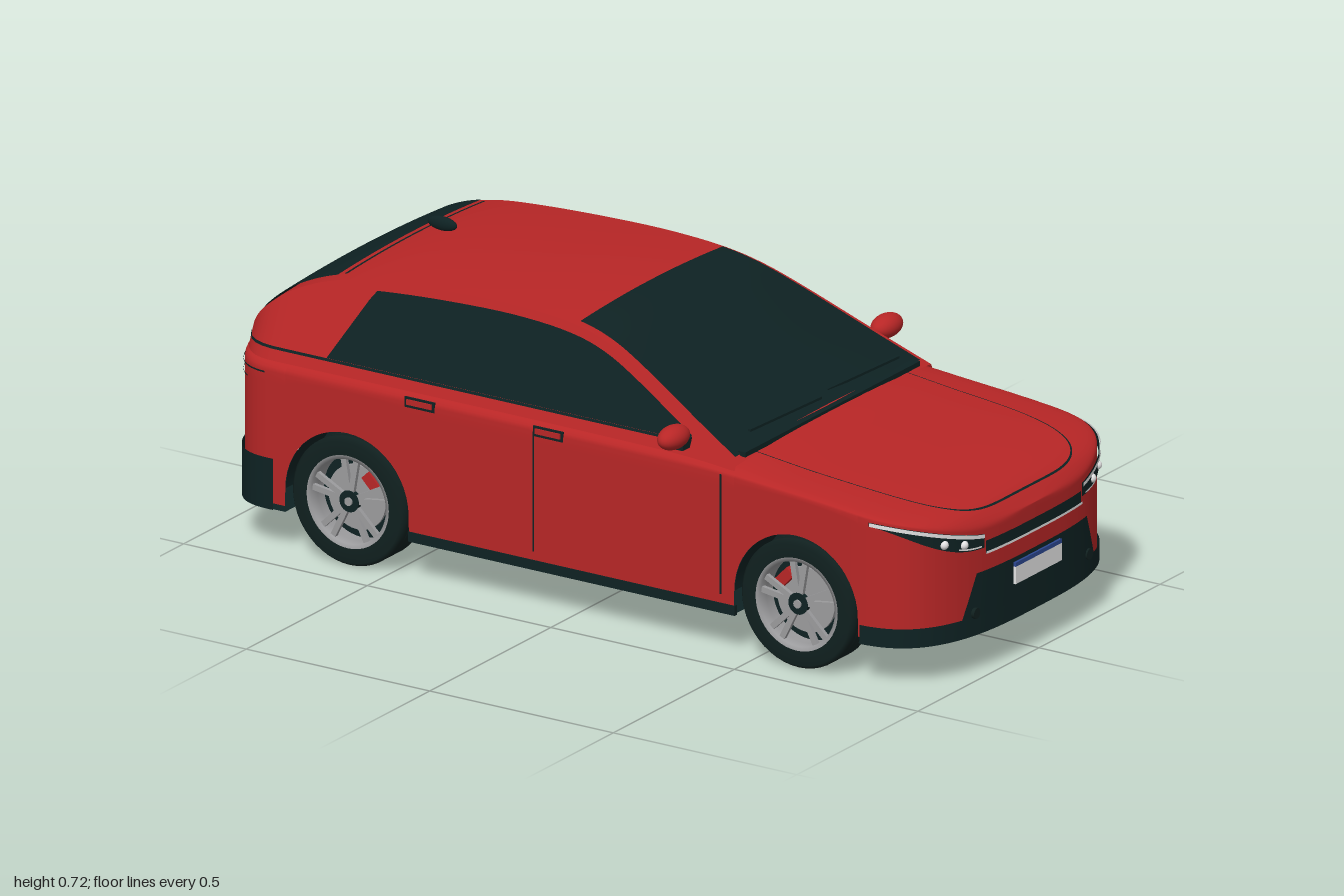
import * as THREE from 'three';

const mat = (name, color) => {
  const m = new THREE.MeshStandardMaterial({ color, side: THREE.DoubleSide });
  m.name = name;
  return m;
};

// Smooth height curve through a few [x, y] points
const curve = pts => x => {
  const n = pts.length;
  if (x <= pts[0][0]) return pts[0][1];
  if (x >= pts[n - 1][0]) return pts[n - 1][1];
  let i = 0;
  while (x > pts[i + 1][0]) i++;
  const slope = k => {
    const a = pts[Math.max(k - 1, 0)], b = pts[Math.min(k + 1, n - 1)];
    return (b[1] - a[1]) / (b[0] - a[0]);
  };
  const [x0, y0] = pts[i], [x1, y1] = pts[i + 1], h = x1 - x0, t = (x - x0) / h;
  const t2 = t * t, t3 = t2 * t;
  return y0 * (2 * t3 - 3 * t2 + 1) + y1 * (3 * t2 - 2 * t3)
    + h * (slope(i) * (t3 - 2 * t2 + t) + slope(i + 1) * (t3 - t2));
};

const HALF = 0.42, WHEELS = [0.615, -0.608], WHEEL_Y = 0.155, ARCH = 0.168;
const ENDS = { 1: [0.74, 0.25], '-1': [-0.8, 0.175] };
const shoulder = curve([[-0.98, 0.43], [0.35, 0.43], [0.6, 0.418], [0.8, 0.4], [0.9, 0.385], [0.95, 0.365], [0.99, 0.335]]);
const deck = curve([[-0.98, 0.475], [-0.9, 0.482], [0.25, 0.48], [0.42, 0.465], [0.55, 0.448], [0.75, 0.428], [0.88, 0.408], [0.95, 0.387], [0.99, 0.352]]);
const roof = curve([[-0.955, 0.46], [-0.93, 0.505], [-0.89, 0.555], [-0.82, 0.61], [-0.71, 0.653], [-0.57, 0.673], [-0.31, 0.686],
  [-0.14, 0.683], [-0.015, 0.667], [0.09, 0.632], [0.33, 0.515], [0.44, 0.462]]);

// Plan outline: half width at x, and its inverse on the nose and tail
const width = x => {
  const [c, a] = x > 0 ? ENDS[1] : ENDS[-1];
  const t = Math.max(0, (x - c) / a * Math.sign(x));
  return HALF * Math.cbrt(Math.max(0, 1 - t ** 3));
};
const face = (end, z, y, off) => {
  const [c, a] = ENDS[end];
  const t = Math.min(1, Math.abs(z) / HALF);
  return [c + end * (a * Math.cbrt(1 - t ** 3) + off), y, z * (1 + off / HALF)];
};
const wrapZ = t => HALF * Math.sign(t) * Math.abs(Math.sin(t)) ** (2 / 3);

// Cabin surface: sloping sides and a slightly crowned top
const cabinSide = (x, y) => Math.max(0, width(x) - 0.03 - 0.45 * (y - 0.48));
const cabinTop = (x, u, off = 0) => {
  const edge = roof(x) - 0.012;
  return [x, roof(x) - 0.012 * u * u + off, u * cabinSide(x, edge)];
};
const hoodY = (x, z) => {
  const t = Math.min(1, Math.abs(z) / Math.max(width(x), 1e-4));
  return shoulder(x) + (deck(x) - shoulder(x)) * (1 - t ** 2.5) ** 0.4;
};

export function createModel() {
  const red = mat('red paint', 0xb82626), dark = mat('dark glass and trim', 0x0e2223), rubber = mat('tyre rubber', 0x10201f);
  const silver = mat('silver metal', 0x9c9c9e), white = mat('white lamp', 0xe4e4e4), blue = mat('blue strip', 0x2b4791);
  const car = new THREE.Group();
  car.name = 'car';

  const add = (name, geo, material, pos = [0, 0, 0], parent = car) => {
    const m = new THREE.Mesh(geo, material);
    m.name = name;
    m.position.set(...pos);
    parent.add(m);
    return m;
  };
  const box = (name, size, material, pos, parent) => add(name, new THREE.BoxGeometry(...size), material, pos, parent);
  // Surface grid from a rule f(u, v) -> [x, y, z]
  const patch = (name, material, nu, nv, f) => {
    const pos = [], idx = [];
    for (let i = 0; i <= nu; i++) for (let j = 0; j <= nv; j++) {
      pos.push(...f(i / nu, j / nv));
      const a = i * (nv + 1) + j, b = a + nv + 1;
      if (i < nu && j < nv) idx.push(a, b, a + 1, b, b + 1, a + 1);
    }
    const g = new THREE.BufferGeometry();
    g.setAttribute('position', new THREE.Float32BufferAttribute(pos, 3));
    g.setIndex(idx);
    g.computeVertexNormals();
    return add(name, g, material);
  };

  // Stations along the body, dense at the rounded ends and wheel arches
  const xs = [];
  for (let i = -10; i <= 10; i++) xs.push(i * 0.04);
  for (let i = 0; i <= 24; i++) {
    const c = Math.cos(i / 24 * Math.PI / 2) ** (2 / 3);
    xs.push(0.74 + 0.25 * c, -0.8 - 0.175 * c);
    for (const w of WHEELS) xs.push(w + ARCH * Math.cos(i / 24 * Math.PI));
  }
  for (const w of WHEELS) xs.push(w - ARCH - 0.0005, w + ARCH + 0.0005);
  xs.sort((a, b) => a - b);
  const station = u => xs[Math.round(u * (xs.length - 1))];
  const inArch = x => WHEELS.find(w => Math.abs(x - w) <= ARCH + 1e-6);
  const bottom = x => {
    const w = inArch(x);
    return w === undefined ? 0.112 : WHEEL_Y + Math.sqrt(Math.max(0, ARCH ** 2 - (x - w) ** 2));
  };

  for (const s of [1, -1]) {
    // Body side, shoulder and deck
    patch('bodyHalf', red, xs.length - 1, 24, (u, v) => {
      const x = station(u), w = width(x), b = bottom(x), sh = shoulder(x);
      if (v <= 0.5) return [x, b + (sh - b) * v * 2, s * w];
      const a = (v - 0.5) * Math.PI;
      return [x, sh + (deck(x) - sh) * Math.sin(a) ** 0.8, s * w * Math.max(0, Math.cos(a)) ** 0.8];
    });
    patch('floorHalf', dark, xs.length - 1, 1, (u, v) => {
      const x = station(u);
      return [x, 0.098, s * v * (inArch(x) === undefined ? width(x) : 0.31)];
    });
    // Cabin side, side window and belt line
    const cabinX = u => -0.955 + 1.395 * u ** 1.4;
    patch('cabinSide', red, 70, 6, (u, v) => {
      const x = cabinX(u), y = 0.44 + (Math.max(roof(x) - 0.012, 0.44) - 0.44) * v;
      return [x, y, s * cabinSide(x, y)];
    });
    patch('sideWindow', dark, 66, 5, (u, v) => {
      const x = -0.68 + 0.99 * u;
      const top = Math.max(0.485, Math.min(roof(x) - 0.03, 0.485 + (x + 0.68) * 1.8));
      const y = 0.482 + (top - 0.482) * v;
      return [x, y, s * (cabinSide(x, y) + 0.004)];
    });
    patch('beltLine', dark, 50, 1, (u, v) => {
      const x = -0.93 + 1.24 * u, y = 0.476 + 0.006 * v;
      return [x, y, s * (cabinSide(x, y) + 0.005)];
    });
    // Sill, door seams and handles
    box('sill', [0.89, 0.024, 0.01], dark, [0.004, 0.107, s * 0.417]);
    for (const x of [0.41, -0.1]) box('doorSeam', [0.004, 0.29, 0.003], dark, [x, 0.285, s * HALF]);
    for (const x of [-0.41, -0.06]) {
      box('handleRecess', [0.082, 0.025, 0.004], dark, [x, 0.432, s * 0.419]);
      box('handle', [0.068, 0.013, 0.008], red, [x, 0.433, s * 0.42]);
    }
    // Door mirror
    add('mirror', new THREE.SphereGeometry(1, 24, 16).scale(0.031, 0.028, 0.05), red, [0.295, 0.503, s * 0.44]);
    box('mirrorStalk', [0.03, 0.022, 0.05], dark, [0.295, 0.478, s * 0.4]);
    // Headlamp: dark housing, white upper strip and two lamps
    const lampZ = u => 0.2 + 0.217 * Math.sin(u * Math.PI / 2);
    const lampTop = z => 0.335 + 0.06 * ((z - 0.2) / 0.217) ** 1.2;
    const lampLow = z => 0.302 + 0.084 * ((z - 0.2) / 0.217) ** 2.2;
    patch('headlamp', dark, 30, 3, (u, v) => {
      const z = lampZ(u);
      return face(1, s * z, lampLow(z) + (lampTop(z) - lampLow(z)) * v, 0.004);
    });
    patch('lampStrip', white, 30, 1, (u, v) => {
      const z = lampZ(u);
      return face(1, s * z, lampTop(z) - 0.009 * v, 0.007);
    });
    patch('lampLowerStrip', white, 20, 1, (u, v) => {
      const z = 0.21 + 0.07 * u;
      return face(1, s * z, lampLow(z) + 0.004 + 0.004 * v, 0.007);
    });
    for (const [z, y] of [[0.315, 0.336], [0.263, 0.324]])
      add('lamp', new THREE.SphereGeometry(0.011, 16, 12), white, face(1, s * z, y, 0.002));
    add('fogLamp', new THREE.CylinderGeometry(0.013, 0.013, 0.008, 16).rotateZ(Math.PI / 2), rubber, face(1, s * 0.23, 0.152, 0.006));
    // Wiper lying on the windscreen base
    const wiper = box('wiper', [0.008, 0.006, 0.27], dark, [0.4, 0.488, s * 0.16 - 0.02]);
    wiper.rotation.y = -0.06;
  }

  // Roof, windscreen and rear glass
  patch('roof', red, 70, 16, (u, v) => cabinTop(-0.955 + 1.395 * u ** 1.4, v * 2 - 1));
  patch('windscreen', dark, 30, 12, (u, v) => cabinTop(-0.055 + 0.48 * u, (v * 2 - 1) * 0.955, 0.005));
  patch('rearGlass', dark, 24, 12, (u, v) => cabinTop(-0.925 + 0.21 * u, (v * 2 - 1) * 0.93, 0.006));
  patch('spoilerGap', dark, 2, 12, (u, v) => cabinTop(-0.704 + 0.008 * u, (v * 2 - 1) * 0.9, 0.004));
  box('cowl', [0.02, 0.012, 0.72], dark, [0.428, 0.464, 0]);
  add('antenna', new THREE.SphereGeometry(1, 20, 12).scale(0.04, 0.017, 0.011), dark, [-0.625, 0.699, 0]);

  // Hood seam
  patch('hoodSeam', dark, 80, 1, (u, v) => {
    const a = (u - 0.5) * Math.PI, k = 1 + 0.008 * v;
    const x = 0.43 + 0.53 * k * Math.max(0, Math.cos(a)) ** 0.4;
    const z = 0.31 * k * Math.sign(a) * Math.abs(Math.sin(a)) ** 0.4;
    return [x, hoodY(x, z) + 0.002, z];
  });

  // Bands wrapped around the nose and tail
  const band = (name, material, end, reach, y0, y1, off) => patch(name, material, 60, 2, (u, v) =>
    face(end, wrapZ((u * 2 - 1) * reach), y0 + (y1 - y0) * v, off));
  band('frontLip', dark, 1, 1.49, 0.097, 0.143, 0.004);
  band('rearBumper', dark, -1, 1.57, 0.098, 0.222, 0.005);
  band('tailSeam', dark, -1, 1.5, 0.425, 0.429, 0.002);
  band('tailLowerSeam', dark, -1, 1.2, 0.4, 0.403, 0.002);

  // Panels on the nose and tail, tapering from half width h0 to h1
  const panel = (name, material, end, h0, h1, y0, y1, off) => patch(name, material, 24, 2, (u, v) =>
    face(end, (u * 2 - 1) * (h0 + (h1 - h0) * v), y0 + (y1 - y0) * v, off));
  panel('lowerGrille', dark, 1, 0.27, 0.225, 0.14, 0.246, 0.004);
  panel('upperGrille', dark, 1, 0.195, 0.195, 0.287, 0.317, 0.004);
  panel('grilleStrip', white, 1, 0.195, 0.195, 0.286, 0.292, 0.007);
  for (const [end, y] of [[1, 0.183], [-1, 0.315]]) {
    const x = end > 0 ? 0.995 : -0.98;
    box('plate', [0.009, 0.042, 0.19], white, [x, y + 0.021, 0]);
    box('plateStrip', [0.009, 0.01, 0.19], blue, [x, y + 0.047, 0]);
  }
  add('exhaust', new THREE.CylinderGeometry(0.016, 0.016, 0.12, 20, 1, true).rotateZ(Math.PI / 2), silver, [-0.94, 0.138, -0.145]);

  // Wheels with wells; grooves are cut into the tread profile
  const tread = [[0.106, -0.045], [0.146, -0.049], [0.155, -0.038]];
  for (const y of [-0.02, 0, 0.02]) tread.push([0.155, y - 0.003], [0.151, y - 0.002], [0.151, y + 0.002], [0.155, y + 0.003]);
  tread.push([0.155, 0.038], [0.146, 0.049], [0.106, 0.045]);
  const lathe = pts => new THREE.LatheGeometry(pts.map(p => new THREE.Vector2(...p)), 48).rotateX(Math.PI / 2);
  const disc = (r, h) => new THREE.CylinderGeometry(r, r, h, 32).rotateX(Math.PI / 2);
  for (const x of WHEELS) for (const s of [1, -1]) {
    const wheel = new THREE.Group();
    wheel.name = x > 0 ? 'frontWheel' : 'rearWheel';
    wheel.position.set(x, WHEEL_Y, s * 0.37);
    if (s < 0) wheel.rotation.y = Math.PI;
    car.add(wheel);
    const at = z => [0, 0, z];
    add('tyre', lathe(tread), rubber, at(0), wheel);
    add('rim', lathe([[0.104, -0.04], [0.1, 0.02], [0.102, 0.044], [0.112, 0.047]]), silver, at(0), wheel);
    add('wheelBack', disc(0.104, 0.01), dark, at(-0.015), wheel);
    add('brakeDisc', disc(0.078, 0.008), silver, at(0.004), wheel);
    const caliper = box('caliper', [0.05, 0.026, 0.02], red, [-s * Math.sign(x) * 0.05, 0.048, 0.016], wheel);
    caliper.rotation.z = s * Math.sign(x) * 0.8;
    for (let i = 0; i < 5; i++) for (const d of [-0.17, 0.17]) {
      const a = i / 5 * Math.PI * 2 + Math.PI / 2 + d;
      const spoke = box('spoke', [0.086, 0.014, 0.01], silver, [Math.cos(a) * 0.062, Math.sin(a) * 0.062, 0.035], wheel);
      spoke.rotation.z = a;
    }
    add('hub', disc(0.026, 0.012), dark, at(0.036), wheel);
    add('hubCap', disc(0.01, 0.006), silver, at(0.043), wheel);

    add('wheelWell', new THREE.CylinderGeometry(ARCH, ARCH, 0.117, 32, 1, true, Math.PI / 2, Math.PI).rotateX(Math.PI / 2),
      dark, [x, WHEEL_Y, s * 0.359]);
    add('wellWall', new THREE.CircleGeometry(ARCH, 32, 0, Math.PI), dark, [x, WHEEL_Y, s * 0.302]);
    box('wellLowerWall', [ARCH * 2, 0.058, 0.004], dark, [x, 0.127, s * 0.302]);
  }
  return car;
}
